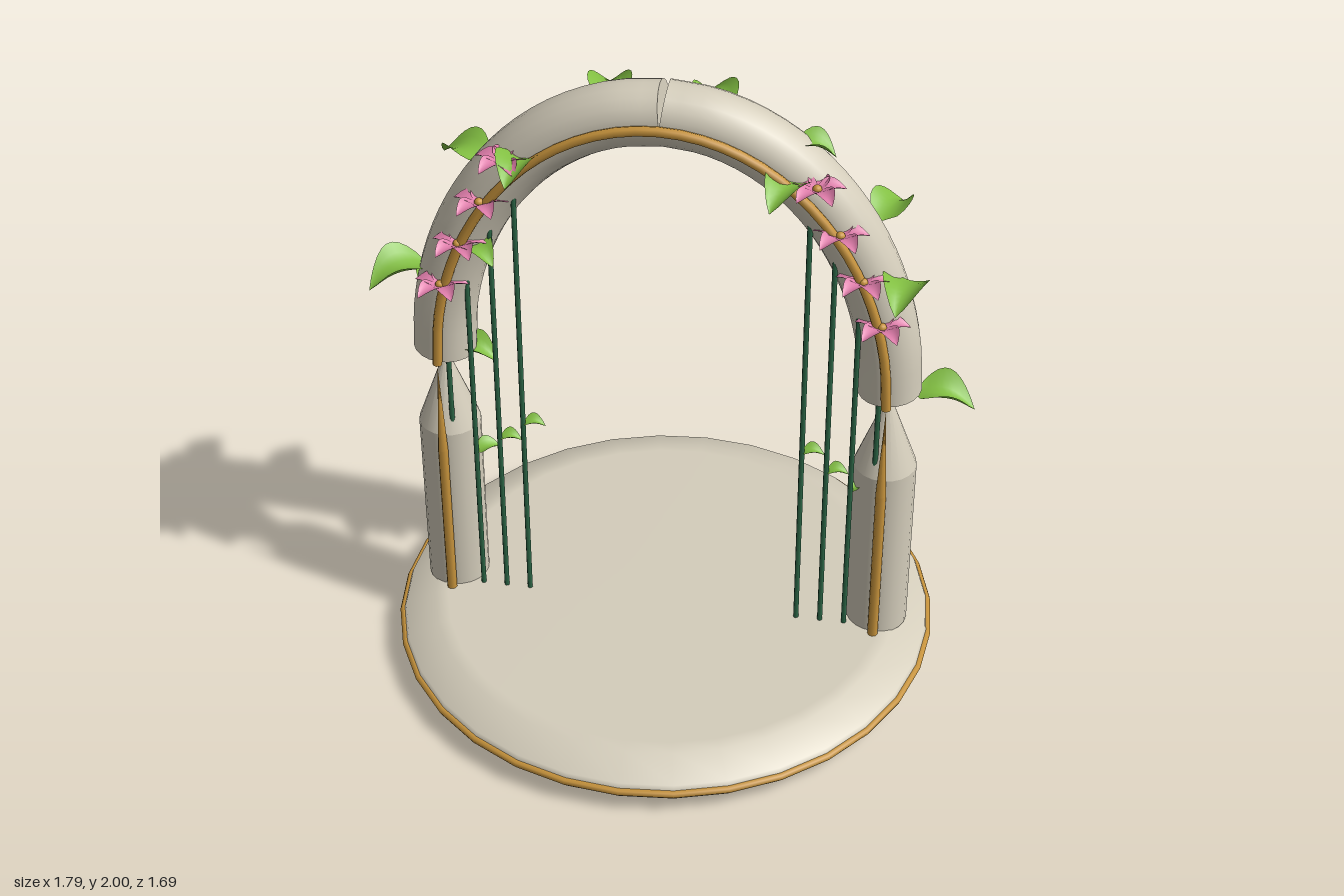
import * as THREE from 'three';

const CX = -0.035;            // centre of the arch and base
const A = 0.67, B = 0.885, Y0 = 1.025; // ellipse followed by the arch
const FRONT = 0.105;          // depth of the gold trim

const mat = (name, color, side = THREE.FrontSide) => {
  const m = new THREE.MeshStandardMaterial({ color, side });
  m.name = name;
  return m;
};

// Cupped leaf from the origin to z = 1, with a pointed tip and raised edges
function leafGeometry(width, cup, droop) {
  const g = new THREE.PlaneGeometry(2, 1, 6, 10);
  const p = g.attributes.position;
  for (let i = 0; i < p.count; i++) {
    const v = p.getX(i), u = 0.5 - p.getY(i);
    const half = width * Math.pow(Math.sin(Math.PI * Math.pow(u, 0.72)), 0.8);
    p.setXYZ(i, v * (half || 0), cup * Math.sin(Math.PI * u) * v * v + droop * (Math.sin(Math.PI * u) * 0.6 - u * u * 0.3), u);
  }
  g.computeVertexNormals();
  return g;
}

export function createModel() {
  const root = new THREE.Group();
  root.name = 'gardenArch';
  const stone = mat('stone', 0xd4cdbb);
  const gold = mat('gold', 0xc8943c);
  const vineGreen = mat('vineGreen', 0x2c6646);
  const leafGreen = mat('leafGreen', 0x82bf42, THREE.DoubleSide);
  const pink = mat('pink', 0xdc7ba8, THREE.DoubleSide);

  const add = (name, geo, material, x = 0, y = 0, z = 0, parent = root) => {
    const m = new THREE.Mesh(geo, material);
    m.name = name;
    m.position.set(x, y, z);
    parent.add(m);
    return m;
  };

  // Round base with bevelled rim and gold band
  const profile = [[0, 0], [0.68, 0], [0.72, 0.003], [0.825, 0.045], [0.835, 0.07],
    [0.825, 0.098], [0.73, 0.138], [0.69, 0.142], [0, 0.142]].map(([r, y]) => new THREE.Vector2(r, y));
  add('base', new THREE.LatheGeometry(profile, 32), stone, CX);
  add('baseBand', new THREE.TorusGeometry(0.833, 0.012, 8, 32), gold, CX, 0.072).rotation.x = Math.PI / 2;

  const archPoint = (angle, z) => new THREE.Vector3(CX + A * Math.cos(angle), Y0 + B * 0.995 * Math.sin(angle), z);
  const archCurve = (from, to, z, n) => new THREE.CatmullRomCurve3(
    Array.from({ length: n + 1 }, (_, i) => archPoint(from + (to - from) * i / n, z)));

  // Two arch halves, meeting in a narrow notch at the crown
  for (const [side, s] of [['left', 1], ['right', -1]]) {
    const curve = archCurve(s > 0 ? 0 : Math.PI, Math.PI / 2, 0, 8);
    add(side + 'ArchHalf', new THREE.TubeGeometry(curve, 24, 0.095, 20), stone);
    for (const t of [0, 1]) {
      const p = curve.getPoint(t);
      const dir = curve.getTangent(t).multiplyScalar(t ? 1 : -1);
      const cap = add(side + 'ArchEnd', new THREE.CircleGeometry(0.095, 20), stone, p.x, p.y, p.z);
      cap.lookAt(p.clone().add(dir));
    }

    // Pointed column with its gold strip
    const x = CX + s * A;
    add(side + 'Column', new THREE.CylinderGeometry(0.095, 0.095, 0.61, 20), stone, x, 0.44);
    add(side + 'ColumnPoint', new THREE.ConeGeometry(0.095, 0.265, 20, 1, true), stone, x, 0.8775);
    add(side + 'ColumnTrim', new THREE.CylinderGeometry(0.016, 0.016, 0.56, 8), gold, x, 0.42, FRONT);
    add(side + 'ColumnTrimPoint', new THREE.ConeGeometry(0.016, 0.31, 8), gold, x, 0.855, FRONT);

    // Hanging vines, from the arch down to the base
    for (const d of [0.425, 0.5, 0.575, 0.645]) {
      const top = Y0 + B * Math.sqrt(1 - (d / A) ** 2) - 0.02;
      add(side + 'Vine', new THREE.CylinderGeometry(0.008, 0.008, top - 0.135, 8), vineGreen,
        CX + s * d, (top + 0.135) / 2, 0.068);
    }
  }
  add('archTrim', new THREE.TubeGeometry(archCurve(0, Math.PI, FRONT, 16), 40, 0.015, 8), gold);

  // Leaves given by base and tip
  const leafGeo = leafGeometry(0.39, 0.24, 0.25);
  const addLeaf = (name, base, tip) => {
    const a = new THREE.Vector3(...base), b = new THREE.Vector3(...tip);
    const leaf = add(name, leafGeo, leafGreen, a.x, a.y, a.z);
    leaf.lookAt(b);
    leaf.scale.setScalar(a.distanceTo(b));
  };
  [
    [[-0.72, 1.16, -0.05], [-0.78, 1.14, -0.21]],
    [[-0.56, 1.68, -0.01], [-0.70, 1.66, -0.10]],
    [[-0.57, 1.57, -0.07], [-0.45, 1.56, -0.18]],
    [[-0.20, 1.88, -0.06], [-0.23, 1.87, -0.22]],
    [[0.11, 1.88, -0.06], [0.06, 1.87, -0.22]],
    [[0.58, 1.57, -0.06], [0.63, 1.56, -0.21]],
    [[0.64, 1.16, -0.06], [0.58, 1.14, -0.20]],
    [[0.71, 1.01, 0], [0.89, 0.99, 0]],
    [[0.33, 1.84, 0], [0.45, 1.81, -0.01]],
    [[0.68, 1.43, 0.02], [0.65, 1.43, 0.19]],
    [[0.36, 1.76, 0.06], [0.29, 1.75, 0.21]],
    [[-0.42, 1.76, 0.06], [-0.45, 1.75, 0.21]],
    [[-0.74, 1.31, 0], [-0.90, 1.28, 0.10]],
    [[-0.62, 1.44, 0.07], [-0.51, 1.43, 0.14]],
    [[-0.68, 1.01, 0], [-0.54, 1.00, 0.02]],
    [[0.33, 1.68, -0.04], [0.22, 1.66, -0.10]],
  ].forEach(([base, tip]) => addLeaf('leaf', base, tip));

  // Small leaves on the vines
  for (const s of [1, -1]) {
    [[0.425, 0.80], [0.5, 0.735], [0.575, 0.67]].forEach(([d, y], i) => {
      const x = CX + s * d;
      addLeaf('vineLeaf', [x, y, 0.068], [x + (i === 2 && s > 0 ? 0.03 : 0.068), y, 0.06 - (i === 2 ? 0.04 : 0)]);
    });
  }

  // Five-petalled flowers climbing both sides of the arch front
  const petalGeo = leafGeometry(0.36, 0.2, 0.15);
  for (const s of [1, -1]) {
    [[0.445, 1.765], [0.515, 1.617], [0.585, 1.467], [0.645, 1.317]].forEach(([d, y]) => {
      const flower = new THREE.Group();
      flower.name = 'flower';
      flower.position.set(CX + s * d, y, 0.11);
      root.add(flower);
      for (let i = 0; i < 5; i++) {
        const petal = add('petal', petalGeo, pink, 0, 0, 0, flower);
        petal.scale.setScalar(0.085);
        petal.rotation.y = i * Math.PI * 0.4 + Math.PI / 5;
      }
      add('flowerCentre', new THREE.SphereGeometry(0.014, 10, 8), gold, 0, 0.004, 0, flower);
    });
  }
  return root;
}
